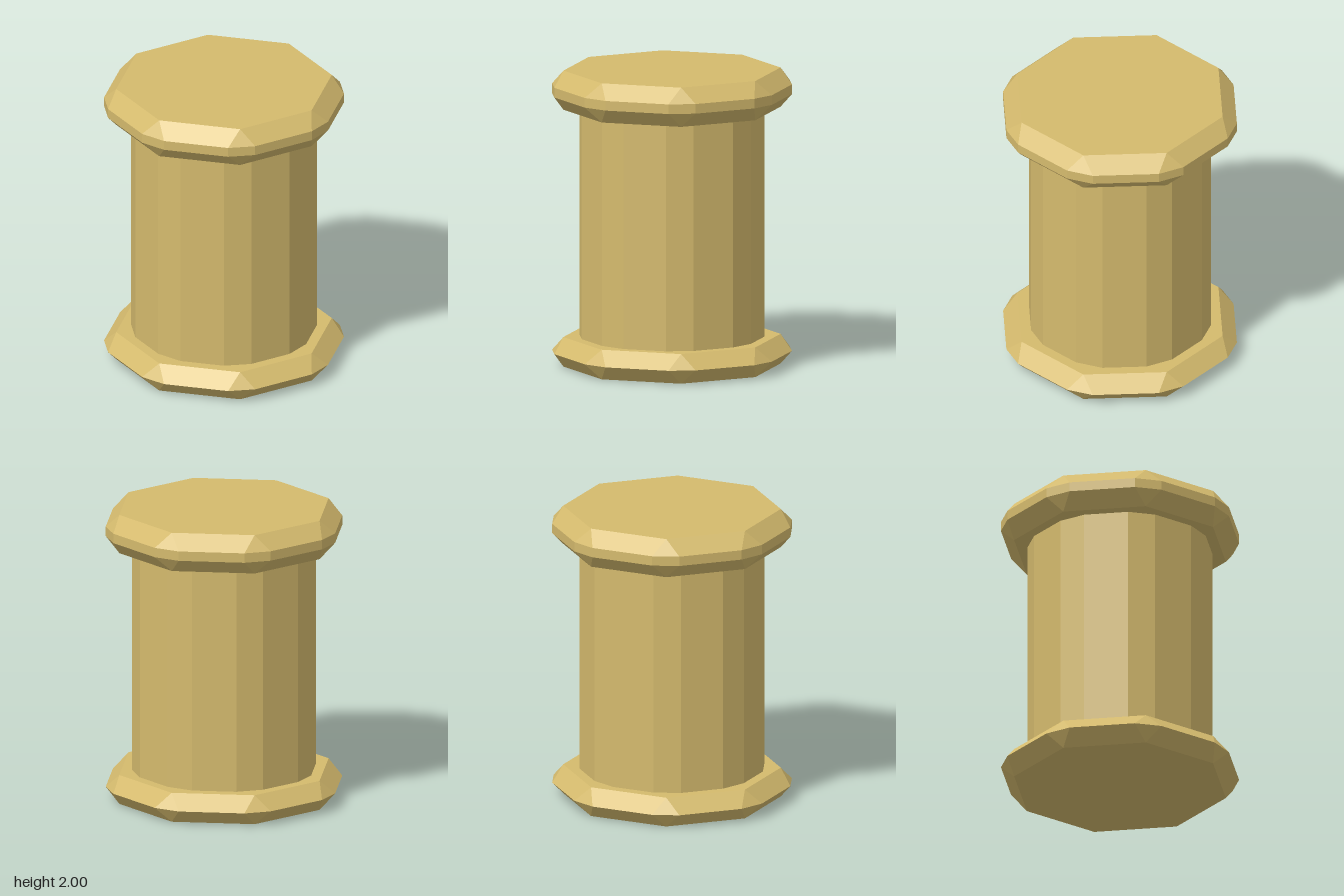
import * as THREE from 'three';
import { ConvexGeometry } from 'three/addons/geometries/ConvexGeometry.js';

// Ring at height y: eight flat sides at the given apothem, corners clipped.
// halfSide is half the length of each flat side.
function ring(y, apothem, halfSide) {
  const points = [];
  for (let i = 0; i < 8; i++) {
    const a = (i * Math.PI) / 4;
    for (const s of [-halfSide, halfSide]) {
      points.push(new THREE.Vector3(
        Math.cos(a) * apothem - Math.sin(a) * s, y,
        Math.sin(a) * apothem + Math.cos(a) * s));
    }
  }
  return points;
}

// Plain octagon: one point per corner.
function octagon(y, apothem) {
  const r = apothem / Math.cos(Math.PI / 8);
  return Array.from({ length: 8 }, (_, i) => {
    const a = ((i + 0.5) * Math.PI) / 4;
    return new THREE.Vector3(Math.cos(a) * r, y, Math.sin(a) * r);
  });
}

export function createModel() {
  const group = new THREE.Group();
  group.name = 'column';
  const stone = new THREE.MeshStandardMaterial({ color: 0xd4ba6d });
  stone.name = 'sandstone';

  const add = (name, points) => {
    const mesh = new THREE.Mesh(new ConvexGeometry(points), stone);
    mesh.name = name;
    group.add(mesh);
  };

  // Base slab, bevelled to a sharp middle edge
  add('base', [...octagon(0, 0.67), ...ring(0.1, 0.768, 0.22), ...octagon(0.2, 0.67)]);

  // Shaft with clipped corners
  add('shaft', [...ring(0.2, 0.6, 0.148), ...ring(1.735, 0.6, 0.148)]);

  // Cap slab, bevelled around a narrow upright band
  add('cap', [
    ...octagon(1.735, 0.67), ...ring(1.835, 0.768, 0.22),
    ...ring(1.9, 0.768, 0.22), ...octagon(2, 0.67),
  ]);

  return group;
}
